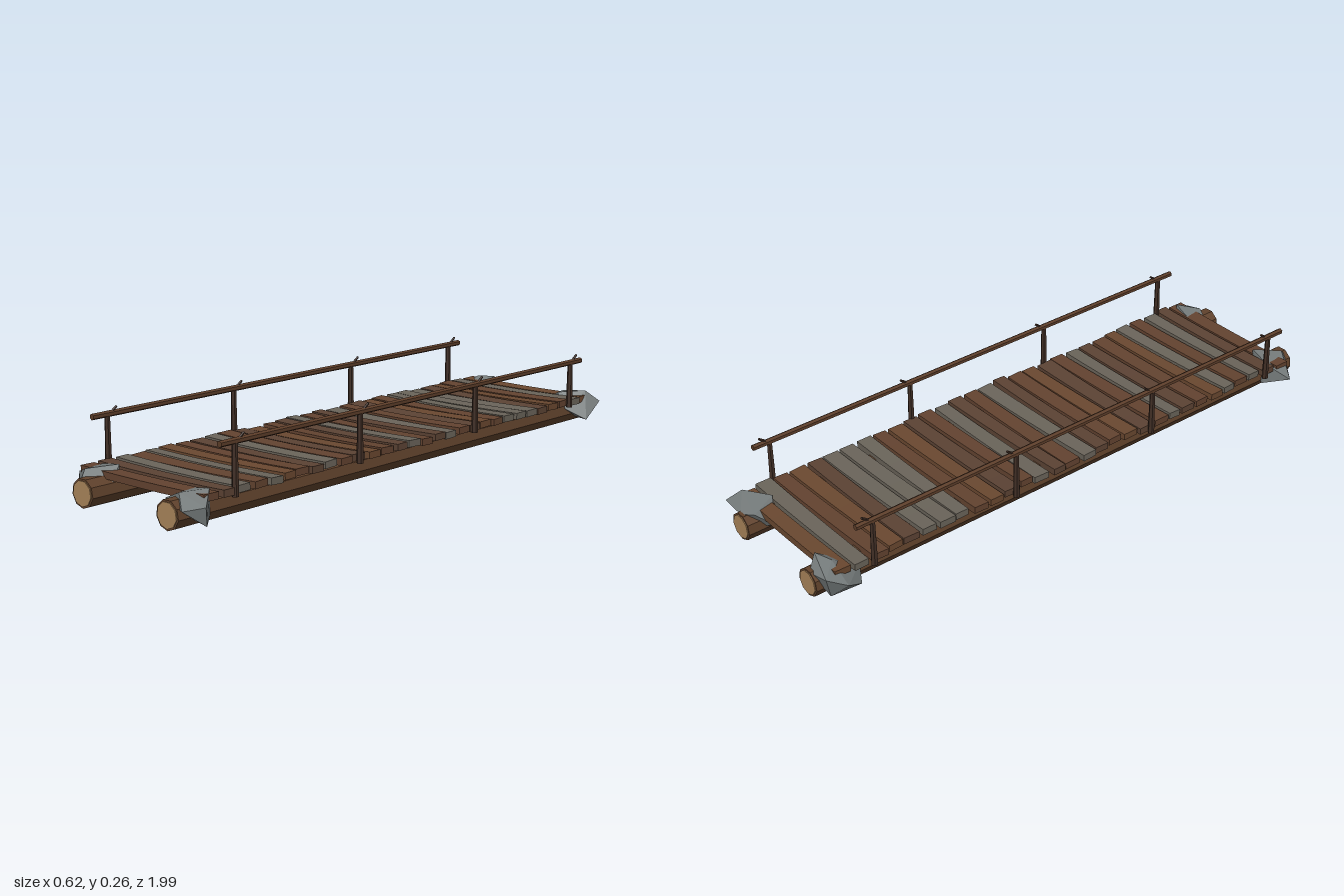
import * as THREE from 'three';
import { ConvexGeometry } from 'three/addons/geometries/ConvexGeometry.js';

const mat = (color) => new THREE.MeshStandardMaterial({ color, flatShading: true });

function seeded(seed) {
  return () => {
    seed = (seed * 16807) % 2147483647;
    return seed / 2147483647;
  };
}

function add(parent, name, geometry, material, x = 0, y = 0, z = 0) {
  const mesh = new THREE.Mesh(geometry, material);
  mesh.name = name;
  mesh.position.set(x, y, z);
  parent.add(mesh);
  return mesh;
}

// Round timber lying along z
function beam(radius, length, sides) {
  return new THREE.CylinderGeometry(radius, radius, length, sides).rotateX(Math.PI / 2);
}

export function createModel() {
  const bridge = new THREE.Group();
  bridge.name = 'footbridge';
  const rnd = seeded(4217);
  const vary = (amount) => (rnd() * 2 - 1) * amount;

  const bark = mat(0x60422c), cutWood = mat(0xa9845a), darkWood = mat(0x402e25);
  const railWood = mat(0x5c3d29), stone = mat(0x747a7a);
  const browns = [mat(0x6a4830), mat(0x5c4334), mat(0x634330)];
  const weathered = mat(0x6a645a);

  // Two supporting logs with pale sawn ends
  for (const x of [-0.167, 0.193]) {
    const log = new THREE.Group();
    log.name = 'supportLog';
    log.position.set(x, 0.046, -0.003);
    add(log, 'logBark', beam(0.046, 1.984, 9), bark);
    add(log, 'logEnds', beam(0.04, 1.99, 9), cutWood);
    bridge.add(log);
  }

  // Deck planks: uneven boards sagging slightly in the middle
  const greyPlanks = [1, 5, 6, 7, 12, 15, 21, 25, 27];
  for (let i = 0; i < 30; i++) {
    const width = 0.525 + vary(0.014);
    const geo = new THREE.BoxGeometry(width, 0.022, 0.051 + vary(0.005), 6, 1, 1);
    const p = geo.attributes.position;
    for (let v = 0; v < p.count; v++) {
      const t = (2 * p.getX(v)) / width;
      p.setY(v, p.getY(v) + 0.004 * (t * t - 1));
      p.setZ(v, p.getZ(v) * (1 + 0.06 * t * (i % 2 ? 1 : -1)));
    }
    const material = greyPlanks.includes(i) ? weathered : browns[i % 3];
    const plank = add(bridge, 'deckPlank', geo, material,
      0.015 + vary(0.006), 0.095 + vary(0.003), -0.92 + i * 0.0626);
    plank.rotation.set(vary(0.05), vary(0.016), vary(0.005));
  }

  // Railings: posts, a long handrail and small binding pegs
  for (const x of [-0.257, 0.281]) {
    const railing = new THREE.Group();
    railing.name = 'railing';
    railing.position.x = x;
    for (const z of [0.81, 0.28, -0.285, -0.82]) {
      add(railing, 'railPost', new THREE.CylinderGeometry(0.0085, 0.011, 0.162, 6), darkWood, 0, 0.161, z);
      const peg = add(railing, 'railPeg', new THREE.CylinderGeometry(0.004, 0.005, 0.05, 5), darkWood, 0, 0.245, z - 0.016);
      peg.rotation.x = -0.95;
    }
    const rail = add(railing, 'handrail', beam(0.01, 1.75, 6), railWood, 0, 0.239, -0.005);
    rail.rotation.x = -0.002;
    bridge.add(railing);
  }

  // Angular boulders wedged around the log ends, given by their corners
  const boulders = [
    [[-0.31, 0.07, 0.88], [-0.235, 0.008, 0.95], [-0.2, 0.108, 0.95], [-0.235, 0.1, 0.85],
      [-0.14, 0.117, 0.87], [-0.18, 0.075, 0.987], [-0.125, 0.05, 0.92], [-0.13, 0.03, 0.87], [-0.22, 0.03, 0.84]],
    [[0.1, 0.065, 0.91], [0.18, 0.022, 0.9], [0.17, 0.1, 0.87], [0.26, 0.117, 0.89],
      [0.308, 0.08, 0.95], [0.3, 0.022, 0.94], [0.25, 0.065, 0.987], [0.2, 0.105, 0.95], [0.23, 0.03, 0.86]],
    [[-0.283, 0.07, -0.93], [-0.25, 0.095, -0.985], [-0.2, 0.115, -0.93], [-0.14, 0.117, -0.95],
      [-0.125, 0.04, -0.91], [-0.2, 0.06, -0.835], [-0.26, 0.035, -0.87], [-0.23, 0.015, -0.96], [-0.17, 0.08, -0.99]],
    [[0.114, 0.06, -0.92], [0.15, 0.1, -0.97], [0.19, 0.112, -0.88], [0.265, 0.119, -0.94],
      [0.3, 0.08, -0.98], [0.3, 0.025, -0.9], [0.24, 0.06, -0.86], [0.2, 0.02, -0.95], [0.2, 0.085, -0.99]],
  ];
  for (const corners of boulders) {
    const points = corners.map((c) => new THREE.Vector3(...c));
    add(bridge, 'boulder', new ConvexGeometry(points), stone);
  }

  return bridge;
}
